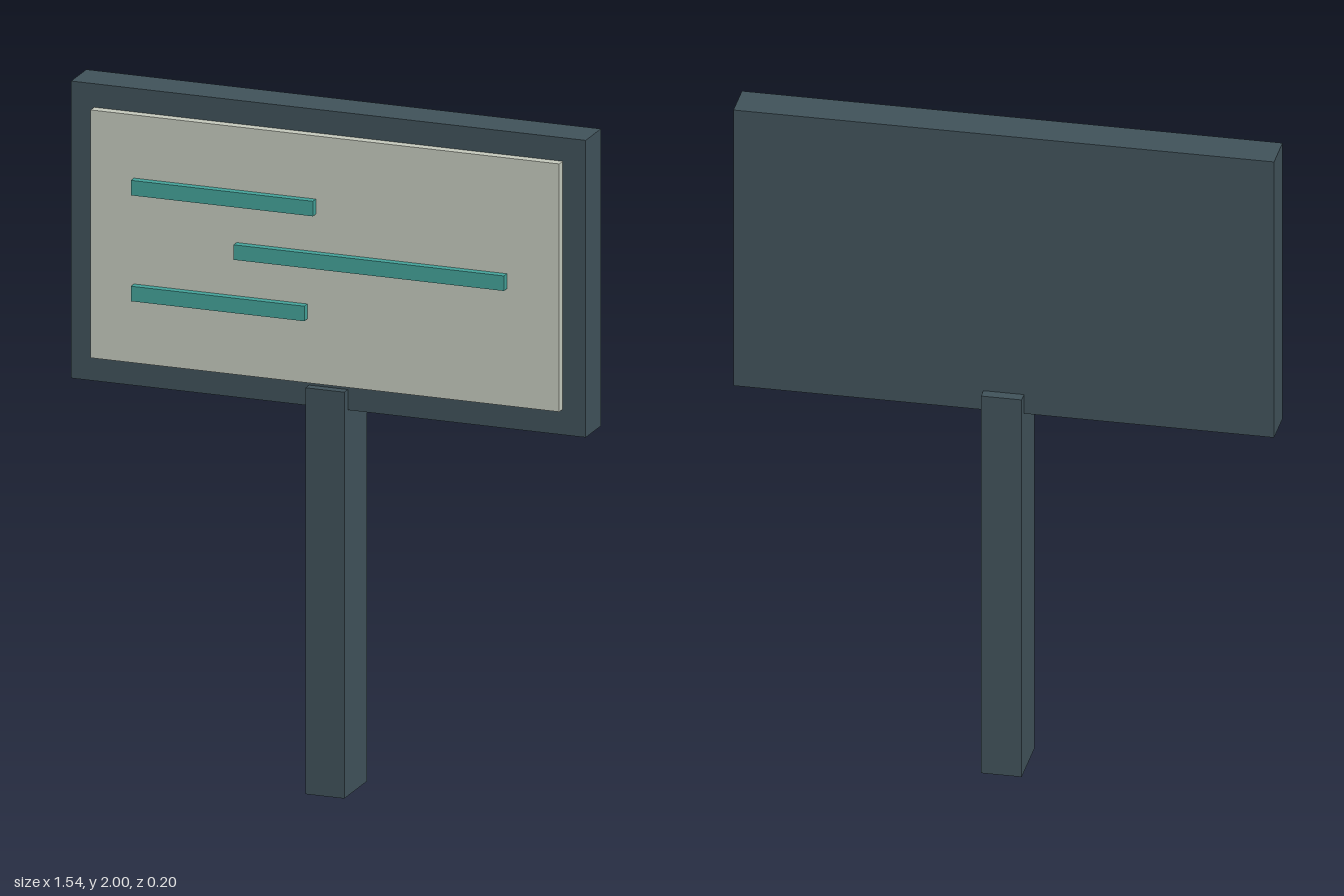
import * as THREE from 'three';

const frameMat = new THREE.MeshStandardMaterial({ color: 0x40525a });
frameMat.name = 'dark slate';
const panelMat = new THREE.MeshStandardMaterial({ color: 0xc6cbbe });
panelMat.name = 'pale sage';
const stripeMat = new THREE.MeshStandardMaterial({ color: 0x44a39a });
stripeMat.name = 'teal';

// Box given by its lower and upper limits on each axis
function box(name, material, [x0, x1], [y0, y1], [z0, z1]) {
  const mesh = new THREE.Mesh(new THREE.BoxGeometry(x1 - x0, y1 - y0, z1 - z0), material);
  mesh.position.set((x0 + x1) / 2, (y0 + y1) / 2, (z0 + z1) / 2);
  mesh.name = name;
  return mesh;
}

export function createModel() {
  const sign = new THREE.Group();
  sign.name = 'signboard';

  // Post, slightly deeper than the board it carries
  sign.add(box('post', frameMat, [-0.058, 0.058], [0, 1.19], [-0.1, 0.077]));

  // Backing board and raised face panel
  sign.add(box('board', frameMat, [-0.772, 0.772], [1.13, 2], [-0.067, 0.05]));
  sign.add(box('facePanel', panelMat, [-0.703, 0.703], [1.205, 1.931], [0.04, 0.077]));

  // Three raised stripes: left end, right end, centre height
  const stripes = [[-0.573, -0.027, 1.724], [-0.265, 0.546, 1.57], [-0.573, -0.053, 1.414]];
  stripes.forEach(([x0, x1, y], i) => {
    sign.add(box(`stripe${i + 1}`, stripeMat, [x0, x1], [y - 0.022, y + 0.022], [0.07, 0.1]));
  });

  return sign;
}
